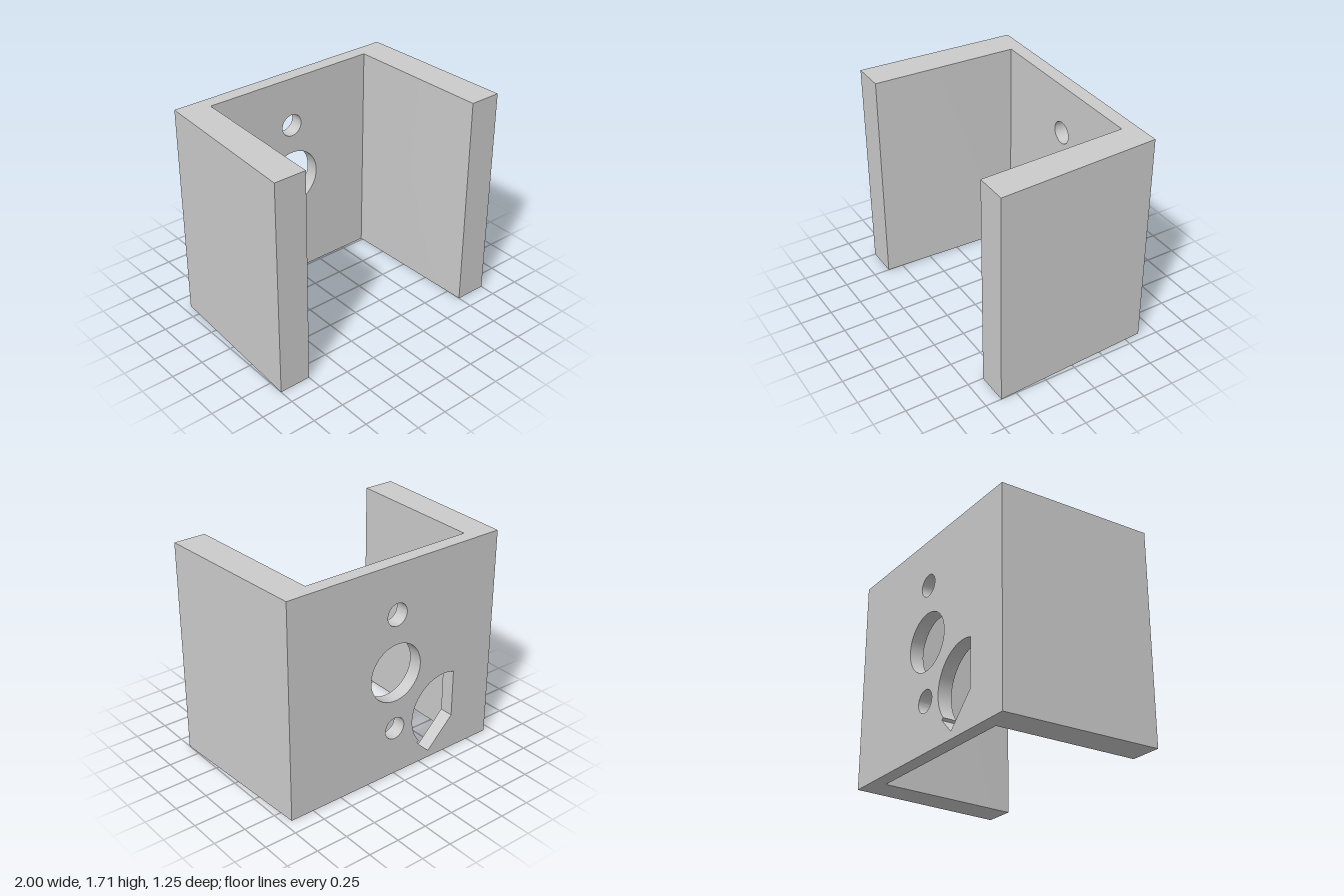
import * as THREE from 'three';
import { toCreasedNormals } from 'three/addons/utils/BufferGeometryUtils.js';

const HEIGHT = 1.706, BACK = -0.625, FRONT = 0.625, INNER = -0.515, INNER_X = 0.71;

const points = (list) => list.map(([x, y]) => new THREE.Vector2(x, y));

function extrude(shape, depth) {
  const geometry = new THREE.ExtrudeGeometry(shape, { depth, bevelEnabled: false, curveSegments: 32 });
  return toCreasedNormals(geometry, 0.5);
}

function roundHole(y, radius) {
  return new THREE.Path().absarc(0, y, radius, 0, Math.PI * 2, true);
}

// Cut-out: a circular arc closed by a straight side and a pointed foot
function cutOut() {
  const cx = -0.47, cy = 0.385, r = 0.3;
  const path = new THREE.Path();
  path.moveTo(-0.57, 0.285);
  path.lineTo(-0.57, cy + Math.sqrt(r * r - 0.01));
  path.absarc(cx, cy, r, Math.acos(-0.1 / r), -0.715, true);
  path.lineTo(-0.227, 0.172);
  path.lineTo(-0.342, 0.057);
  path.closePath();
  return path;
}

export function createModel() {
  const model = new THREE.Group();
  model.name = 'mountingBracket';
  const material = new THREE.MeshStandardMaterial({ color: 0xcccccc });

  // Back plate with three round holes and the cut-out
  const plate = new THREE.Shape(points([[-INNER_X, 0], [INNER_X, 0], [INNER_X, HEIGHT], [-INNER_X, HEIGHT]]));
  plate.holes.push(roundHole(0.855, 0.23), roundHole(1.318, 0.088), roundHole(0.392, 0.088), cutOut());
  const backPlate = new THREE.Mesh(extrude(plate, INNER - BACK), material);
  backPlate.name = 'backPlate';
  backPlate.position.z = BACK;
  model.add(backPlate);

  // Side walls, splayed outwards to the front
  for (const [name, s] of [['leftWall', 1], ['rightWall', -1]]) {
    const plan = [[INNER_X, BACK], [0.94, BACK], [1, FRONT], [0.75, FRONT], [INNER_X, INNER]];
    const shape = new THREE.Shape(points(plan.map(([x, z]) => [s * x, -z])));
    const wall = new THREE.Mesh(extrude(shape, HEIGHT).rotateX(-Math.PI / 2), material);
    wall.name = name;
    model.add(wall);
  }
  return model;
}
